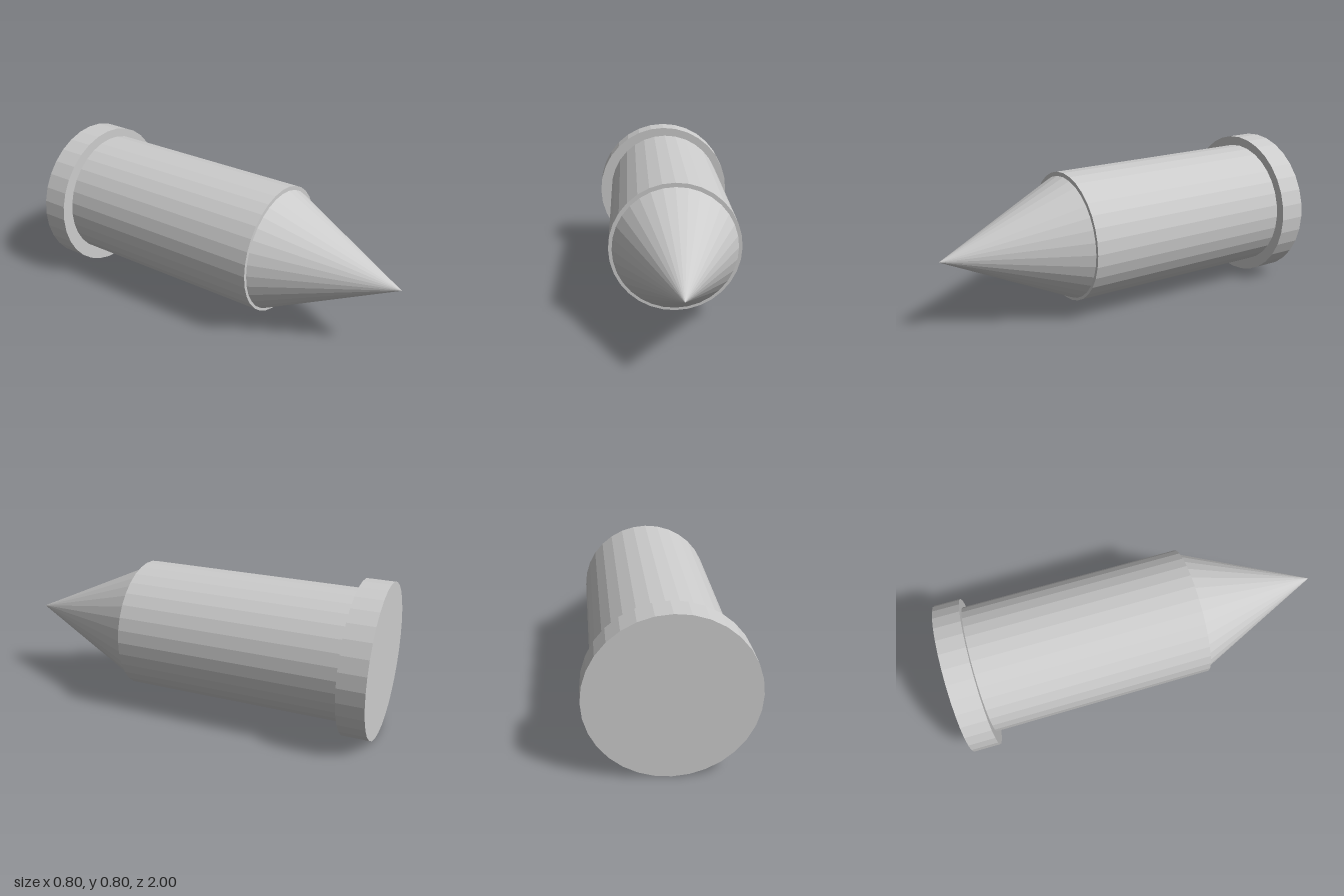
import * as THREE from 'three';

export function createModel() {
  const group = new THREE.Group();
  const grey = new THREE.MeshStandardMaterial({ color: 0xcccccc, flatShading: true });
  grey.name = 'light grey';
  const SIDES = 32;

  // A faceted round part lying along z, from zBack to zFront
  function addRound(name, rFront, rBack, zBack, zFront, x, y) {
    const geometry = new THREE.CylinderGeometry(rFront, rBack, zFront - zBack, SIDES);
    geometry.rotateX(Math.PI / 2);
    const mesh = new THREE.Mesh(geometry, grey);
    mesh.name = name;
    mesh.position.set(x, y, (zBack + zFront) / 2);
    group.add(mesh);
  }

  // Wide rim at the back, long body, and a slightly narrower pointed tip
  addRound('rim', 0.4, 0.4, -1, -0.86, 0, 0.4);
  addRound('body', 0.341, 0.341, -0.86, 0.314, 0.009, 0.41);
  addRound('tip', 0, 0.323, 0.314, 1, 0.009, 0.406);

  return group;
}
